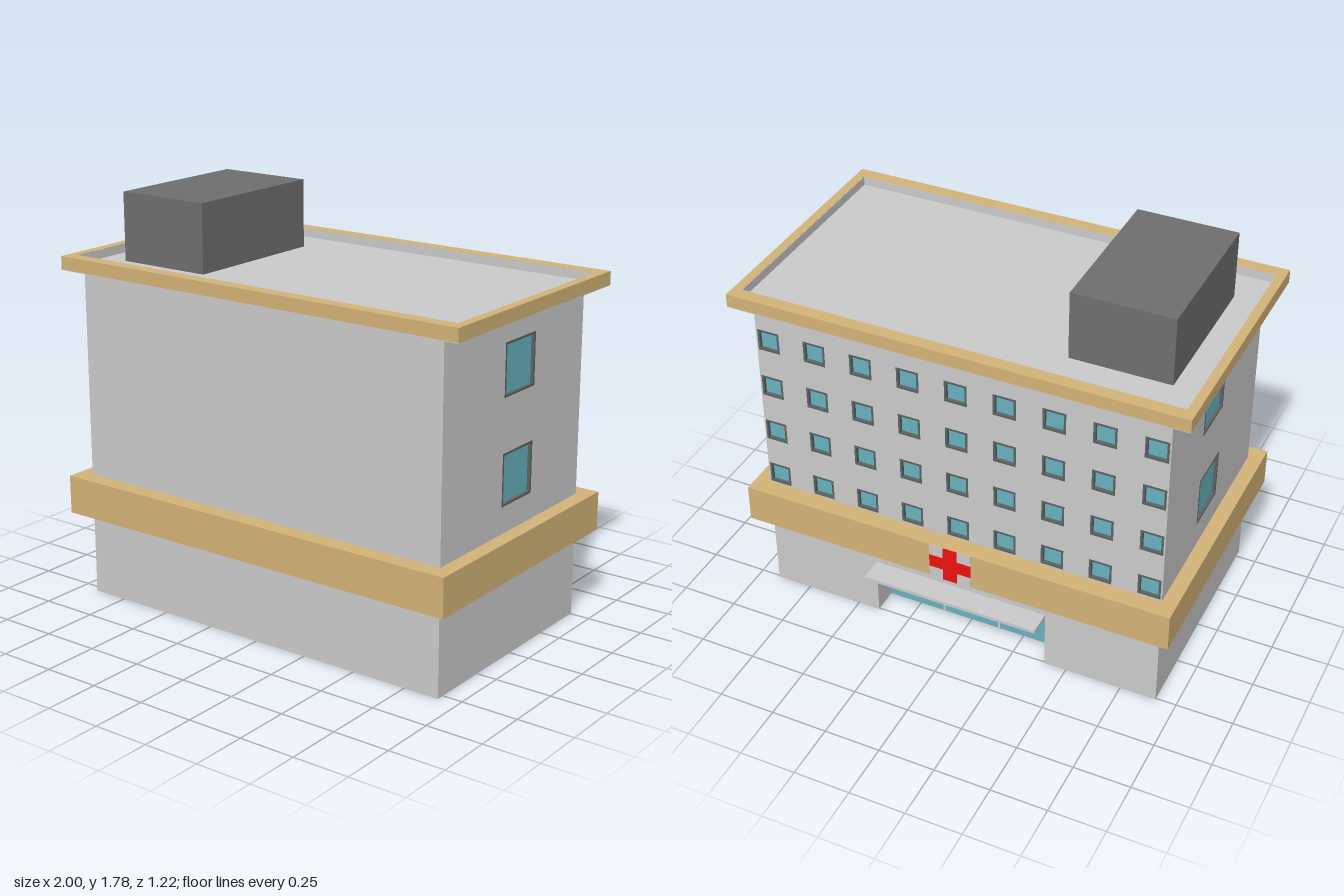
import * as THREE from 'three';

const mat = (color, side = THREE.FrontSide) =>
  new THREE.MeshStandardMaterial({ color, side, flatShading: true });

export function createModel() {
  const root = new THREE.Group();
  root.name = 'building';
  const grey = mat(0xcccccc), dark = mat(0x6f6f6f), tan = mat(0xd4b478);
  const teal = mat(0x68b3c0), frameMat = mat(0x5c6464), red = mat(0xee1111);

  const add = (name, geometry, material, parent = root) => {
    const mesh = new THREE.Mesh(geometry, material);
    mesh.name = name;
    parent.add(mesh);
    return mesh;
  };
  // Box given by its limits on each axis
  const box = (name, [x0, x1], [y0, y1], [z0, z1], material, parent) =>
    add(name, new THREE.BoxGeometry(x1 - x0, y1 - y0, z1 - z0), material, parent)
      .position.set((x0 + x1) / 2, (y0 + y1) / 2, (z0 + z1) / 2);
  const rect = (x0, x1, y0, y1, T = THREE.Shape) => new T([
    new THREE.Vector2(x0, y0), new THREE.Vector2(x1, y0),
    new THREE.Vector2(x1, y1), new THREE.Vector2(x0, y1)]);
  const extrude = (shape, depth) => new THREE.ExtrudeGeometry(shape, { depth, bevelEnabled: false });

  // Wall whose local +z points outwards; windows are set into holes
  function wall(name, shape, thickness, windows, size) {
    const group = new THREE.Group();
    group.name = name;
    const h = size / 2, rim = 0.01, inset = 0.016;
    for (const [x, y] of windows) shape.holes.push(rect(x - h, x + h, y - h, y + h, THREE.Path));
    add(name + 'Panel', extrude(shape, thickness), grey, group);
    const frame = rect(-h, h, -h, h);
    frame.holes.push(rect(-h + rim, h - rim, -h + rim, h - rim, THREE.Path));
    const frameGeo = extrude(frame, inset);
    const glassGeo = new THREE.PlaneGeometry(size, size);
    for (const [x, y] of windows) {
      add('windowFrame', frameGeo, frameMat, group).position.set(x, y, thickness - inset);
      add('windowGlass', glassGeo, teal, group).position.set(x, y, thickness - inset + 0.002);
    }
    root.add(group);
    return group;
  }

  // Main body
  const W = 0.91, H = 1.46, back = -0.505, front = 0.535, recess = 0.12, skin = 0.02;
  const inner = back + recess;
  box('bodyCore', [-W + skin, W - skin], [0, H], [inner, front], grey);

  // Side walls with two large windows each
  for (const s of [1, -1]) {
    const shape = s > 0 ? rect(-front, -inner, 0, H) : rect(inner, front, 0, H);
    const zc = -0.015 * -s;
    const g = wall('sideWall', shape, skin, [[zc, 0.777], [zc, 1.233]], 0.225);
    g.rotation.y = s * Math.PI / 2;
    g.position.x = s * (W - skin);
  }

  // Back wall with a grid of small windows and the entrance opening
  const D = 0.4, doorTop = 0.255;
  const backShape = new THREE.Shape([
    [-W, 0], [-D, 0], [-D, doorTop], [D, doorTop], [D, 0], [W, 0], [W, H], [-W, H],
  ].map(([x, y]) => new THREE.Vector2(x, y)));
  const grid = [];
  for (let c = 0; c < 9; c++)
    for (let r = 0; r < 4; r++) grid.push([(c - 4) * 0.2133, 0.607 + r * 0.23]);
  const backWall = wall('backWall', backShape, recess, grid, 0.1);
  backWall.rotation.y = Math.PI;
  backWall.position.z = inner;

  // Entrance glazing in three panes, with mullions and canopy
  box('entranceGlass', [-D, D], [0, doorTop], [inner - 0.006, inner], teal);
  for (const x of [-D / 3, D / 3])
    box('mullion', [x - 0.005, x + 0.005], [0, doorTop], [inner - 0.008, inner], grey);
  box('canopy', [-D, D], [0.26, 0.275], [-0.612, back], grey);

  // Band around the building
  box('band', [-0.975, 0.975], [0.38, 0.55], [-0.585, 0.61], tan);

  // Cross sign on the back of the band
  box('signPlate', [-0.095, 0.095], [0.381, 0.549], [-0.587, -0.58], grey);
  box('crossUpright', [-0.032, 0.032], [0.381, 0.549], [-0.59, -0.58], red);
  box('crossBar', [-0.095, 0.095], [0.435, 0.495], [-0.59, -0.58], red);

  // Roof slab, parapet ring and its inner lining
  const ring = (name, x, z0, z1, t, y0, y1, material) => {
    const shape = rect(-x, x, -z1, -z0);
    shape.holes.push(rect(-x + t, x - t, -z1 + t, -z0 - t, THREE.Path));
    const mesh = add(name, extrude(shape, y1 - y0), material);
    mesh.rotation.x = -Math.PI / 2;
    mesh.position.y = y0;
  };
  box('roofUnderside', [-1, 1], [H, H + 0.003], [-0.56, 0.58], grey);
  box('roofDeck', [-0.97, 0.97], [H, H + 0.02], [-0.51, 0.53], grey);
  ring('parapet', 1, -0.56, 0.58, 0.04, H + 0.003, 1.52, tan);
  // Front and back parapets are wider than the side ones
  box('parapetBack', [-0.96, 0.96], [H + 0.003, 1.52], [-0.52, -0.502], tan);
  box('parapetFront', [-0.96, 0.96], [H + 0.003, 1.52], [0.522, 0.54], tan);
  ring('parapetLining', 0.96, -0.502, 0.522, 0.002, H + 0.01, 1.519, grey);

  // Rooftop plant room
  box('plantRoom', [-0.84, -0.405], [H + 0.01, 1.78], [-0.33, 0.355], dark);

  return root;
}
